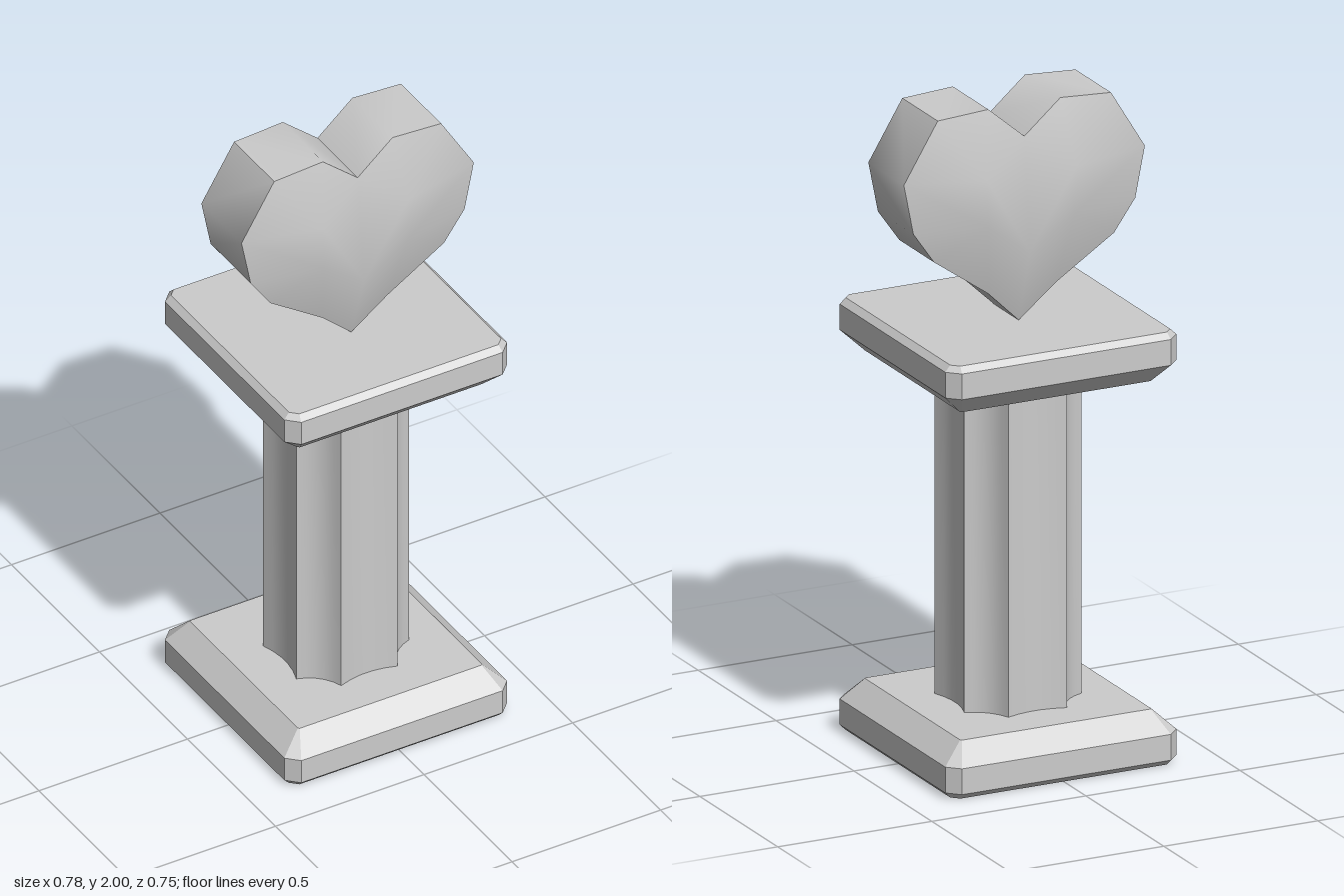
import * as THREE from 'three';
import { ConvexGeometry } from 'three/addons/geometries/ConvexGeometry.js';
import { toCreasedNormals } from 'three/addons/utils/BufferGeometryUtils.js';

const material = new THREE.MeshStandardMaterial({ color: 0xcccccc });

function addMesh(group, name, geometry) {
  const mesh = new THREE.Mesh(geometry, material);
  mesh.name = name;
  group.add(mesh);
}

// Bevelled square slab: rings of [height, half width, corner cut]
function slabGeometry(place) {
  const rings = [[0, 0.357, 0.022], [0.018, 0.375, 0.036], [0.097, 0.375, 0.036], [0.16, 0.31, 0.004]];
  const points = [];
  for (const [y, h, cut] of rings)
    for (const sx of [-1, 1])
      for (const sz of [-1, 1])
        points.push(
          new THREE.Vector3(sx * h, place(y), sz * (h - cut)),
          new THREE.Vector3(sx * (h - cut), place(y), sz * h));
  return new ConvexGeometry(points);
}

// Eight-sided column with a shallow concave flute on each side
function columnGeometry() {
  const a = 0.095, b = 0.19, depth = 0.018;
  const ridges = [[b, -a], [b, a], [a, b], [-a, b], [-b, a], [-b, -a], [-a, -b], [a, -b]];
  const shape = new THREE.Shape();
  shape.moveTo(...ridges[0]);
  ridges.forEach(([x, y], i) => {
    const [nx, ny] = ridges[(i + 1) % 8];
    const mx = (x + nx) / 2, my = (y + ny) / 2;
    const k = 1 - 2 * depth / Math.hypot(mx, my);
    shape.quadraticCurveTo(mx * k, my * k, nx, ny);
  });
  const geometry = new THREE.ExtrudeGeometry(shape, { depth: 1.03, bevelEnabled: false, curveSegments: 5 });
  geometry.rotateX(-Math.PI / 2).translate(0, 0.15, 0);
  return toCreasedNormals(geometry, 0.5);
}

// Heart: one quarter as [x, y, half depth], mirrored in x and z
function heartGeometry() {
  const rim = [
    [0, 1.9, 0.114], [0.117, 2, 0.114], [0.281, 1.99, 0.114], [0.391, 1.81, 0.114],
    [0.36, 1.655, 0.114], [0.292, 1.558, 0.112], [0.11, 1.43, 0.098], [0, 1.325, 0.078]];
  const upper = [0.145, 1.8, 0.163], lower = [0.14, 1.655, 0.161], middle = [0, 1.555, 0.15];
  const positions = [];
  const triangle = (sx, sz, flip, ...corners) => {
    if (flip) corners.reverse();
    for (const [x, y, z] of corners) positions.push(sx * x, y, 0.009 + sz * z);
  };
  const back = ([x, y, z]) => [x, y, -z];

  for (const sx of [1, -1]) {
    // Swollen front and back faces
    for (const sz of [1, -1]) {
      const face = (...c) => triangle(sx, sz, sx * sz < 0, ...c);
      for (let i = 0; i < 6; i++) face(i < 3 ? upper : lower, rim[i + 1], rim[i]);
      face(upper, lower, rim[3]);
      face(lower, middle, rim[6]);
      face(middle, rim[7], rim[6]);
      face(upper, rim[0], middle);
      face(upper, middle, lower);
    }
    // Band around the edge
    for (let i = 0; i < 7; i++) {
      const p = rim[i], q = rim[i + 1];
      triangle(sx, 1, sx < 0, p, q, back(q));
      triangle(sx, 1, sx < 0, p, back(q), back(p));
    }
  }
  const geometry = new THREE.BufferGeometry();
  geometry.setAttribute('position', new THREE.Float32BufferAttribute(positions, 3));
  return toCreasedNormals(geometry, 0.8);
}

export function createModel() {
  const group = new THREE.Group();
  group.name = 'heartPedestal';
  addMesh(group, 'base', slabGeometry(y => y));
  addMesh(group, 'column', columnGeometry());
  addMesh(group, 'topSlab', slabGeometry(y => 1.325 - y));
  addMesh(group, 'heart', heartGeometry());
  return group;
}
